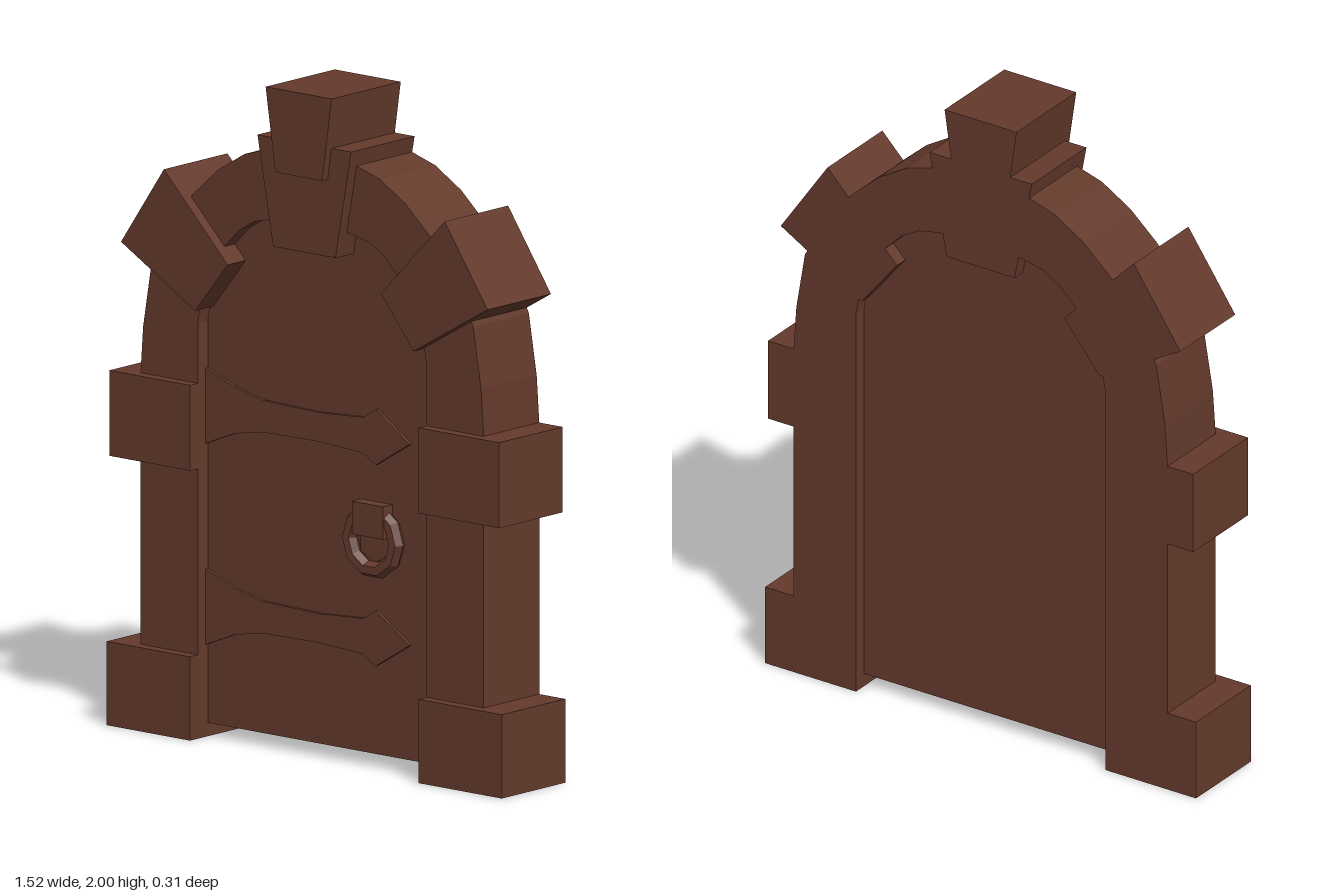
import * as THREE from 'three';

const BACK = -0.153;
const material = new THREE.MeshStandardMaterial({ color: 0x643a2c, flatShading: true });

function toShape(points) {
  return new THREE.Shape(points.map(([x, y]) => new THREE.Vector2(x, y)));
}

// Mirror a right-hand half outline (listed bottom to top) into a closed one
function mirrored(half) {
  return [...half, ...half.filter(([x]) => x > 0).reverse().map(([x, y]) => [-x, y])];
}

function slab(name, points, z0, z1) {
  const geometry = new THREE.ExtrudeGeometry(toShape(points), { depth: z1 - z0, bevelEnabled: false });
  geometry.translate(0, 0, z0);
  const mesh = new THREE.Mesh(geometry, material);
  mesh.name = name;
  return mesh;
}

function block(name, x0, x1, y0, y1, z0, z1) {
  const mesh = new THREE.Mesh(new THREE.BoxGeometry(x1 - x0, y1 - y0, z1 - z0), material);
  mesh.position.set((x0 + x1) / 2, (y0 + y1) / 2, (z0 + z1) / 2);
  mesh.name = name;
  return mesh;
}

export function createModel() {
  const model = new THREE.Group();
  model.name = 'archedDoor';

  // Stone surround: outer and inner arch outlines, open at the bottom
  const outer = [[0.66, 0.02], [0.66, 1.06], [0.65, 1.2], [0.62, 1.38], [0.55, 1.52],
    [0.45, 1.63], [0.36, 1.71], [0.26, 1.77], [0.16, 1.8], [0, 1.81]];
  const inner = [[0.44, 0.02], [0.44, 1.24], [0.42, 1.35], [0.36, 1.46], [0.28, 1.54],
    [0.22, 1.575], [0.15, 1.59], [0, 1.61]];
  model.add(slab('archFrame', [...mirrored(outer), ...mirrored(inner).reverse()], BACK, 0.095));

  // Recessed door leaf, tucked slightly into the surround
  const leaf = [[0.46, 0.04], [0.46, 1.25], [0.44, 1.37], [0.38, 1.49], [0.28, 1.58], [0.15, 1.63], [0, 1.64]];
  model.add(slab('doorLeaf', mirrored(leaf), -0.11, 0.05));

  // Projecting blocks on each side
  for (const [side, s] of [['left', 1], ['right', -1]]) {
    const xs = (a, b) => (s > 0 ? [a, b] : [-b, -a]);
    model.add(block(side + 'BaseBlock', ...xs(0.44, 0.76), 0, 0.25, BACK, 0.13));
    model.add(block(side + 'MiddleBlock', ...xs(0.44, 0.75), 0.805, 1.06, BACK, 0.13));
    const corners = [[0.54, 1.69], [0.295, 1.44], [0.42, 1.285], [0.705, 1.45]];
    model.add(slab(side + 'ArchBlock', corners.map(([x, y]) => [s * x, y]), BACK, 0.13));
  }

  // Two-part keystone
  model.add(slab('lowerKeystone', mirrored([[0.12, 1.52], [0.18, 1.845]]), BACK, 0.13));
  model.add(slab('upperKeystone', mirrored([[0.09, 1.75], [0.127, 2]]), BACK, 0.155));

  // Arrow-tipped hinge straps
  const strap = [[-0.44, -0.11], [-0.33, -0.065], [-0.22, -0.045], [0, -0.042], [0.165, -0.052], [0.215, -0.08],
    [0.345, 0], [0.215, 0.085], [0.165, 0.055], [0, 0.045], [-0.22, 0.05], [-0.33, 0.075], [-0.44, 0.115]];
  for (const [name, y] of [['upperHinge', 0.985], ['lowerHinge', 0.385]]) {
    model.add(slab(name, strap.map(([px, py]) => [px, py + y]), 0.04, 0.06));
  }

  // Ring handle hanging from its bracket
  const ring = new THREE.Mesh(new THREE.TorusGeometry(0.09, 0.025, 6, 10), material);
  ring.name = 'handleRing';
  ring.position.set(0.21, 0.68, 0.065);
  model.add(ring);
  const plate = [[0.15, 0.735], [0.155, 0.64], [0.21, 0.612], [0.265, 0.64], [0.27, 0.735]];
  model.add(slab('handlePlate', plate, 0.04, 0.058));
  model.add(block('handleBracket', 0.15, 0.27, 0.695, 0.793, 0.04, 0.092));

  return model;
}
